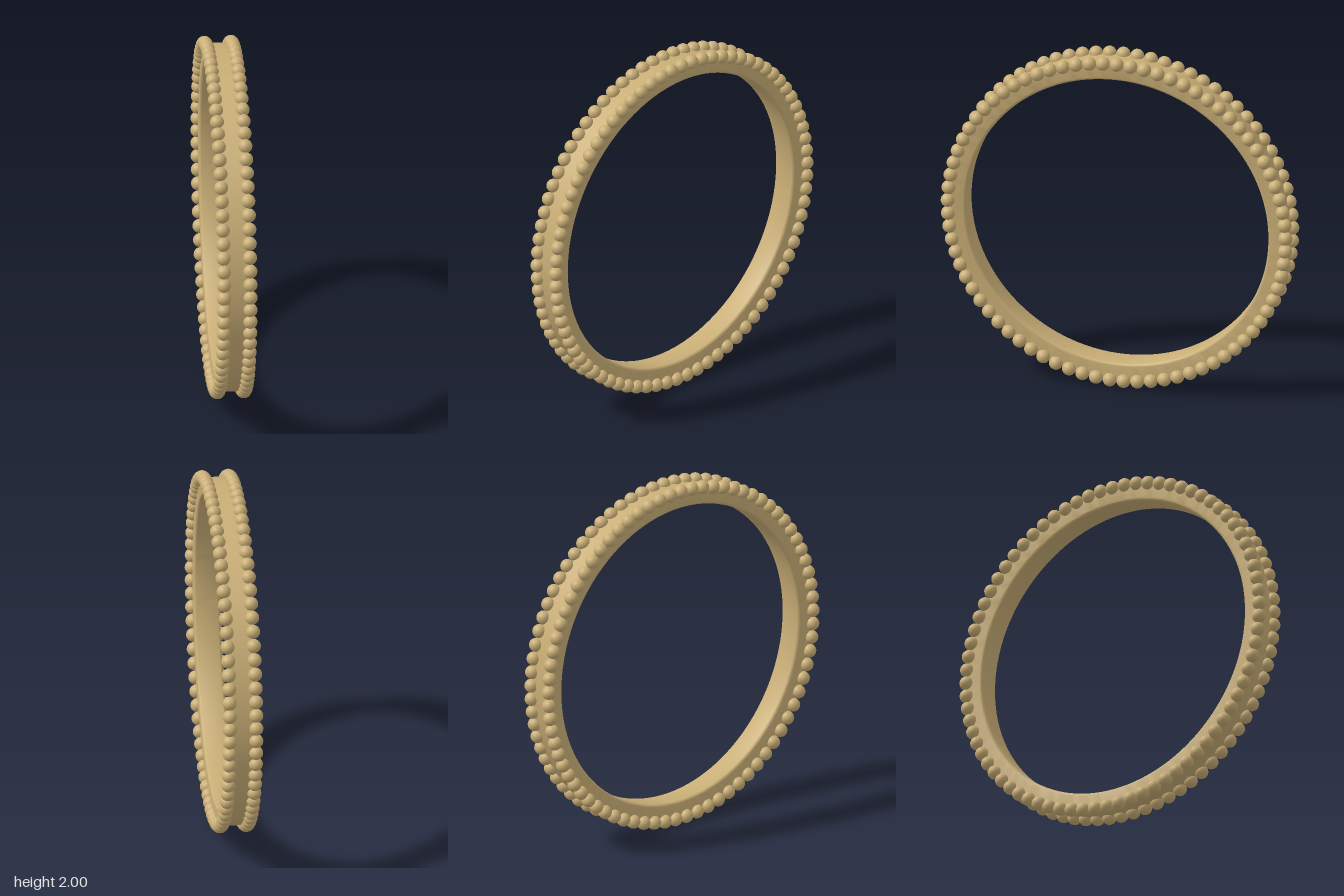
import * as THREE from 'three';
import { toCreasedNormals } from 'three/addons/utils/BufferGeometryUtils.js';

const INNER = 0.86, OUTER = 0.96, HALF = 0.073;  // band radii and half width
const FILLET = 0.018;                            // rounding of the inner edges
const BEAD_R = 0.039, BEAD_RING = 0.961, BEADS = 77;

// Closed band section revolved about the ring's axis, inner edges rounded
function bandGeometry() {
  const points = [new THREE.Vector2(OUTER, -HALF), new THREE.Vector2(OUTER, HALF)];
  const steps = 6;
  for (const side of [1, -1]) {
    for (let i = 0; i <= steps; i++) {
      const t = (side > 0 ? i : steps - i) / steps * Math.PI / 2;
      points.push(new THREE.Vector2(
        INNER + FILLET - FILLET * Math.sin(t),
        side * (HALF - FILLET + FILLET * Math.cos(t))
      ));
    }
  }
  points.push(points[0].clone());
  const geometry = new THREE.LatheGeometry(points, 160);
  geometry.rotateZ(-Math.PI / 2);
  return toCreasedNormals(geometry, 0.6);
}

export function createModel() {
  const ring = new THREE.Group();
  ring.name = 'beadedRing';
  const gold = new THREE.MeshStandardMaterial({ color: 0xc9ae76 });

  const band = new THREE.Mesh(bandGeometry(), gold);
  band.name = 'band';
  band.position.y = 1;
  ring.add(band);

  // A row of beads along each edge of the band
  const beadGeometry = new THREE.SphereGeometry(BEAD_R, 20, 14);
  for (const side of [1, -1]) {
    const row = new THREE.Group();
    row.name = side > 0 ? 'leftBeadRow' : 'rightBeadRow';
    row.position.set(side * HALF, 1, 0);
    for (let i = 0; i < BEADS; i++) {
      const a = i / BEADS * Math.PI * 2;
      const bead = new THREE.Mesh(beadGeometry, gold);
      bead.name = 'bead';
      bead.position.set(0, BEAD_RING * Math.cos(a), BEAD_RING * Math.sin(a));
      row.add(bead);
    }
    ring.add(row);
  }
  return ring;
}
